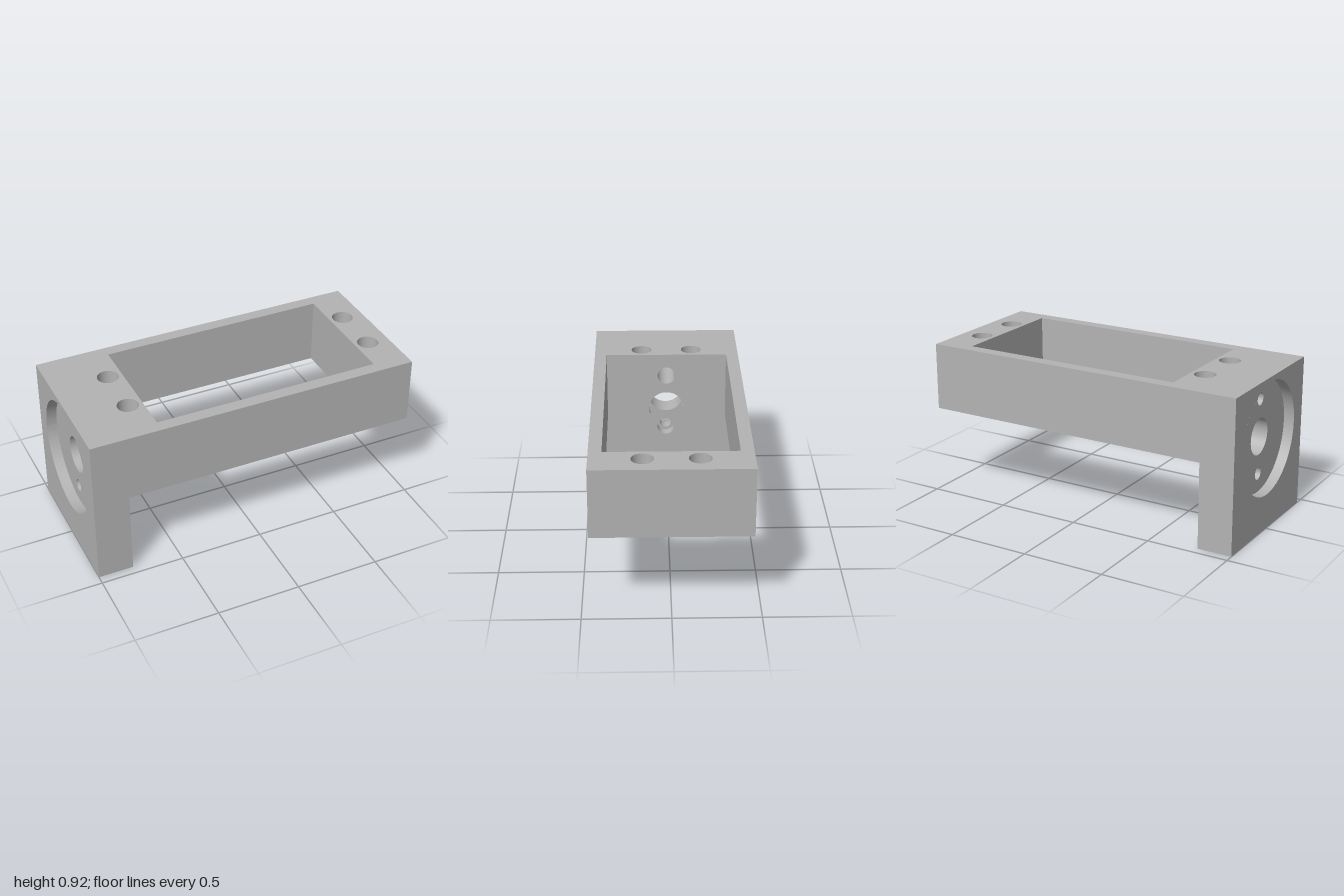
import * as THREE from 'three';

// Main dimensions
const Y1 = 0.515, Y2 = 0.92, D = 0.447;            // underside, top, half depth
const LEG = -0.79, P0 = -0.58, P1 = 0.785, P = 0.373; // leg inner face, pocket
const YC = 0.554, R = 0.11, FLOOR = -0.937, STEP = -0.86; // shaft bore, recess floor, counterbore step
const HX = [-0.665, 0.87], HZ = 0.155, HR = 0.063; // vertical mounting holes
const SCREWS = [YC - 0.225, YC + 0.225], SR = 0.038, CR = 0.055;
const W = Math.sqrt(R * R - (YC - Y1) ** 2);       // half width of the channel in the underside
const A0 = Math.asin((Y1 - YC) / R);

const rect = (x0, y0, x1, y1) => new THREE.Shape(
  [[x0, y0], [x1, y0], [x1, y1], [x0, y1]].map(p => new THREE.Vector2(...p)));

function drill(shape, x, y, r) {
  shape.holes.push(new THREE.Path().absarc(x, y, r, 0, Math.PI * 2, true));
  return shape;
}

export function createModel() {
  const group = new THREE.Group();
  const grey = new THREE.MeshStandardMaterial({ color: 0xb3b3b3, side: THREE.DoubleSide });
  grey.name = 'grey';

  function add(name, geometry) {
    const mesh = new THREE.Mesh(geometry, grey);
    mesh.name = name;
    group.add(mesh);
  }

  // Flat face across an axis; sign tells which way it looks
  const maps = {
    x: (u, v, at) => [at, v, -u],
    y: (u, v, at) => [u, at, -v],
    z: (u, v, at) => [u, v, at],
  };
  function face(name, shape, axis, at, sign) {
    const g = new THREE.ShapeGeometry(shape, 24);
    const p = g.attributes.position;
    for (let i = 0; i < p.count; i++) p.setXYZ(i, ...maps[axis](p.getX(i), p.getY(i), at));
    if (sign < 0) g.setIndex([...g.index.array].reverse());
    g.computeVertexNormals();
    add(name, g);
  }

  // Bore wall around an axis, between two end rules that may follow the point (u, v)
  function bore(name, axis, cu, cv, r, low, high, a0 = 0, a1 = Math.PI * 2) {
    const pos = [], idx = [], n = 64;
    for (let i = 0; i <= n; i++) {
      const t = a0 + (a1 - a0) * i / n;
      const u = cu + r * Math.cos(t), v = cv + r * Math.sin(t);
      for (const end of [low, high]) {
        pos.push(...maps[axis](u, v, typeof end === 'function' ? end(u, v) : end));
      }
      if (i < n) {
        const k = i * 2;
        idx.push(k, k + 1, k + 2, k + 2, k + 1, k + 3);
      }
    }
    const g = new THREE.BufferGeometry();
    g.setAttribute('position', new THREE.Float32BufferAttribute(pos, 3));
    g.setIndex(idx);
    g.computeVertexNormals();
    add(name, g);
  }

  // Sides with the L-shaped outline
  const side = new THREE.Shape([[-1, 0], [LEG, 0], [LEG, Y1], [1, Y1], [1, Y2], [-1, Y2]]
    .map(p => new THREE.Vector2(...p)));
  face('frontSide', side, 'z', D, 1);
  face('backSide', side, 'z', -D, -1);

  // Top with pocket opening and four holes
  const top = rect(-1, -D, 1, D);
  top.holes.push(rect(P0, -P, P1, P));
  for (const x of HX) for (const z of [-HZ, HZ]) drill(top, x, z, HR);
  face('topFace', top, 'y', Y2, 1);

  // Underside: the channel links the leg and the pocket and nicks two holes
  const dz = HZ - W, c = Math.sqrt(HR * HR - dz * dz);
  const under = new THREE.Shape();
  under.moveTo(LEG, -D).lineTo(1, -D).lineTo(1, D).lineTo(LEG, D).lineTo(LEG, W).lineTo(HX[0] - c, W);
  under.absarc(HX[0], HZ, HR, Math.atan2(-dz, -c), Math.atan2(-dz, c), true);
  under.lineTo(P0, W).lineTo(P0, P).lineTo(P1, P).lineTo(P1, -P).lineTo(P0, -P).lineTo(P0, -W).lineTo(HX[0] + c, -W);
  under.absarc(HX[0], -HZ, HR, Math.atan2(dz, c), Math.atan2(dz, -c), true);
  under.lineTo(LEG, -W);
  for (const z of [-HZ, HZ]) drill(under, HX[1], z, HR);
  face('underside', under, 'y', Y1, -1);

  // Ends and foot
  face('leftEnd', rect(-D, Y1, D, Y2), 'x', 1, 1);
  face('mountingEnd', drill(rect(-D, 0, D, Y2), 0, YC, 0.34), 'x', -1, -1);
  face('legFoot', rect(-1, -D, LEG, D), 'y', 0, -1);

  // Inner face of the leg, notched by the shaft bore
  const leg = new THREE.Shape();
  leg.moveTo(-D, 0).lineTo(D, 0).lineTo(D, Y1).lineTo(W, Y1);
  leg.absarc(0, YC, R, A0, Math.PI - A0, true);
  leg.lineTo(-D, Y1);
  face('legInnerFace', drill(leg, 0, SCREWS[0], CR), 'x', LEG, 1);

  // Pocket walls
  const wall = new THREE.Shape();
  wall.moveTo(-P, Y1).lineTo(-W, Y1);
  wall.absarc(0, YC, R, Math.PI - A0, A0, true);
  wall.lineTo(P, Y1).lineTo(P, Y2).lineTo(-P, Y2);
  face('pocketBoredWall', drill(wall, 0, SCREWS[1], CR), 'x', P0, 1);
  face('pocketEndWall', rect(-P, Y1, P, Y2), 'x', P1, -1);
  for (const s of [-1, 1]) face('pocketSideWall', rect(P0, Y1, P1, Y2), 'z', s * P, -s);

  // Round recess with shaft and screw openings
  const floor = new THREE.Shape().absarc(0, YC, 0.34, 0, Math.PI * 2);
  drill(floor, 0, YC, R);
  for (const y of SCREWS) drill(floor, 0, y, SR);
  face('recessFloor', floor, 'x', FLOOR, -1);
  bore('recessRim', 'x', 0, YC, 0.34, -1, FLOOR);

  // Counterbored screw holes
  SCREWS.forEach((y, i) => {
    bore('screwHole', 'x', 0, y, SR, FLOOR, STEP);
    face('screwSeat', drill(new THREE.Shape().absarc(0, y, CR, 0, Math.PI * 2), 0, y, SR), 'x', STEP, 1);
    bore('counterbore', 'x', 0, y, CR, STEP, i ? P0 : LEG);
  });

  // Shaft bore, trimmed where the mounting holes cross it
  const cut = u => Math.sqrt(Math.max(0, HR * HR - (Math.abs(u) - HZ) ** 2));
  bore('shaftBoreLower', 'x', 0, YC, R, FLOOR, LEG, Math.PI - A0, Math.PI * 2 + A0);
  bore('shaftBoreUpper', 'x', 0, YC, R, FLOOR, u => HX[0] - cut(u), A0, Math.PI - A0);
  bore('shaftBoreUpper', 'x', 0, YC, R, u => HX[0] + cut(u), P0, A0, Math.PI - A0);

  // Vertical mounting holes
  const overShaft = (u, v) => Math.abs(v) < R ? YC + Math.sqrt(R * R - v * v) : Y1;
  for (const z of [-HZ, HZ]) {
    bore('mountingHole', 'y', HX[0], z, HR, overShaft, Y2);
    bore('mountingHole', 'y', HX[1], z, HR, Y1, Y2);
  }
  return group;
}
